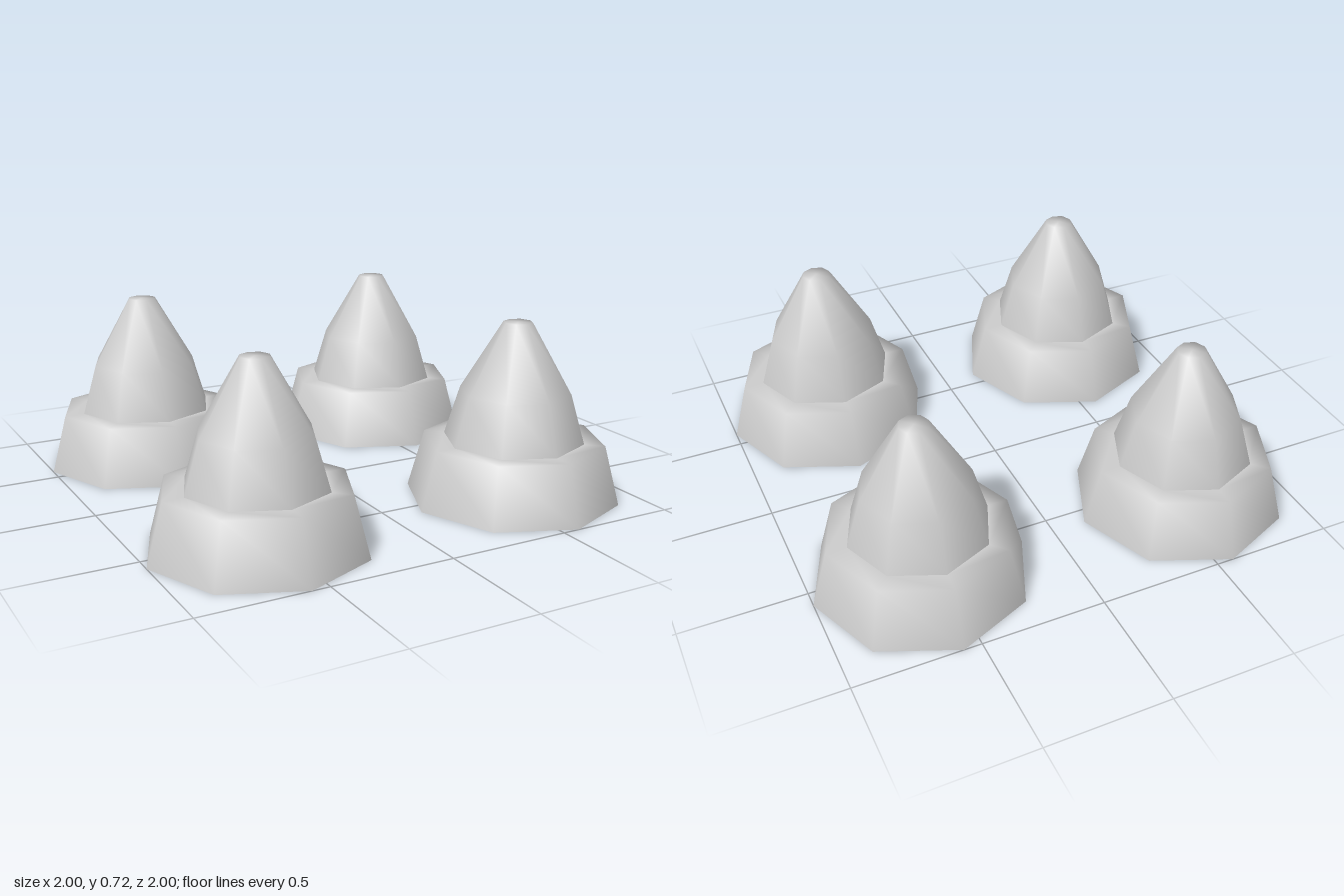
import * as THREE from 'three';

// Octagonal surface of revolution, smooth along its profile
function ringPart(name, profile, material) {
  const points = profile.map(([r, y]) => new THREE.Vector2(r, y));
  const mesh = new THREE.Mesh(new THREE.LatheGeometry(points, 8), material);
  mesh.name = name;
  return mesh;
}

export function createModel() {
  const model = new THREE.Group();
  model.name = 'studSet';
  const solid = new THREE.MeshStandardMaterial({ color: 0xcccccc });
  const shell = new THREE.MeshStandardMaterial({ color: 0xcccccc, side: THREE.DoubleSide });

  // One stud: hollow flared collar with a blunt pointed cap
  const inner = 0.282, outer = 0.43, shoulder = 0.24;
  const stud = new THREE.Group();
  stud.name = 'stud';
  stud.add(
    ringPart('collar', [[outer, 0], [0.365, shoulder], [inner, shoulder]], solid),
    ringPart('collarUnderside', [[inner, 0], [outer, 0]], solid),
    ringPart('collarBore', [[inner, shoulder], [inner, 0]], solid),
    ringPart('cap', [[inner, shoulder], [0.222, 0.44], [0.058, 0.72], [0, 0.72]], shell)
  );

  // Four studs on a square
  for (const x of [-0.57, 0.57]) {
    for (const z of [-0.57, 0.57]) {
      const copy = stud.clone();
      copy.name = (z > 0 ? 'front' : 'back') + (x > 0 ? 'Left' : 'Right') + 'Stud';
      copy.position.set(x, 0, z);
      model.add(copy);
    }
  }
  return model;
}
